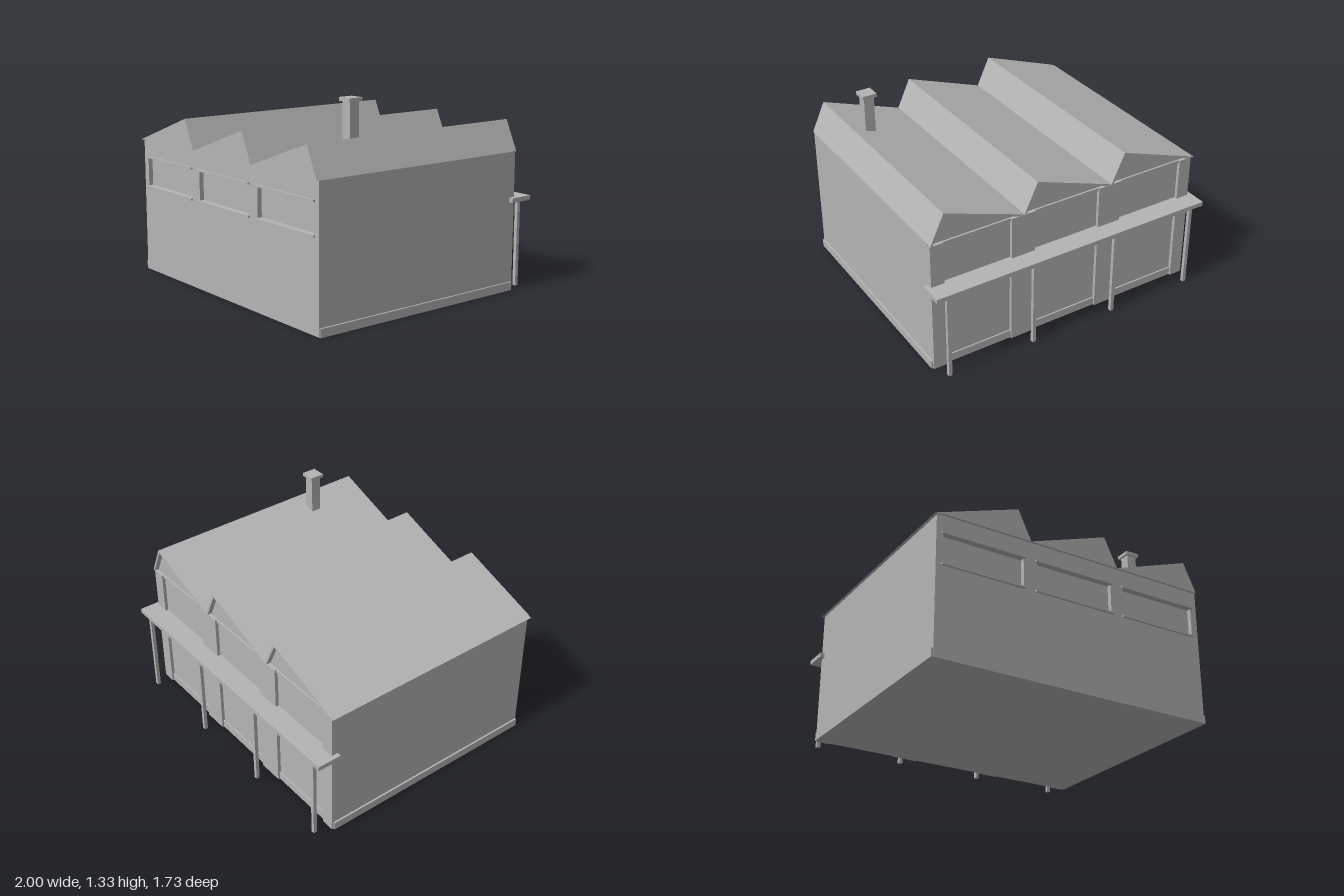
import * as THREE from 'three';

export function createModel() {
  const model = new THREE.Group();
  model.name = 'factory';
  const grey = new THREE.MeshStandardMaterial({ color: 0xb4b4b4 });
  grey.name = 'plain grey';

  const add = (name, geometry) => {
    const mesh = new THREE.Mesh(geometry, grey);
    mesh.name = name;
    model.add(mesh);
    return mesh;
  };
  // Box given by its lower and upper limits on each axis
  const box = (name, x0, x1, y0, y1, z0, z1) =>
    add(name, new THREE.BoxGeometry(x1 - x0, y1 - y0, z1 - z0)
      .translate((x0 + x1) / 2, (y0 + y1) / 2, (z0 + z1) / 2));
  const outline = (points) => new THREE.Shape(points.map(([x, y]) => new THREE.Vector2(x, y)));
  const extrude = (name, shape, z0, z1) =>
    add(name, new THREE.ExtrudeGeometry(shape, { depth: z1 - z0, bevelEnabled: false }).translate(0, 0, z0));
  const rect = (x0, x1, y0, y1) => [[x0, y0], [x1, y0], [x1, y1], [x0, y1]];

  const half = 0.97, eaves = 0.915, bay = half * 2 / 3;
  const back = -0.72, front = 0.85;

  // Walls: a solid core, with a front skin pierced by three window recesses
  box('walls', -half, half, 0, eaves, back, front - 0.03);
  const skin = outline(rect(-half, half, 0, eaves));
  for (let i = -1; i <= 1; i++) {
    const c = i * bay;
    skin.holes.push(new THREE.Path(
      rect(c - 0.276, c + 0.276, 0.597, 0.79).reverse().map(([x, y]) => new THREE.Vector2(x, y))));
    box('windowSill', c - 0.288, c + 0.288, 0.585, 0.597, front - 0.03, 0.865);
    box('windowLintel', c - 0.288, c + 0.288, 0.79, 0.802, front - 0.03, 0.865);
  }
  extrude('frontWall', skin, front - 0.03, front);
  box('plinth', -0.982, 0.982, 0, 0.055, -0.73, front - 0.002);

  // Sawtooth roof: solid teeth, with a thin shell overhanging the back gable
  for (let i = 0; i < 3; i++) {
    const x = -half + i * bay;
    const left = i === 0 ? x - 0.018 : x;
    const at = (points) => outline(points.map(([px, py]) => [px + x, py + eaves]));
    extrude('roofTooth', at([[0, 0], [bay, 0], [0.555, 0.198]]), back, 0.865);
    extrude('roofOverhang', at([
      [0, 0], [0.044, 0], [0.545, 0.182], [bay - 0.016, 0], [bay, 0], [0.555, 0.198],
    ]), -0.752, back);
    if (i === 0) {
      extrude('eavesLip', outline([[left, eaves - 0.007], [x + 0.02, eaves - 0.007],
        [x + 0.02, eaves + 0.007], [x, eaves]]), -0.752, 0.862);
    }
  }

  // Rear pilasters between the bays, joined by a beam under the roof
  const pilasters = [[-half, -0.88], [-0.408, -0.238], [0.238, 0.408], [0.88, half]];
  pilasters.forEach(([x0, x1]) => box('pilaster', x0, x1, 0, 0.905, -0.742, back));
  for (let i = 0; i < 3; i++) {
    box('rearBeam', pilasters[i][1], pilasters[i + 1][0], 0.885, 0.905, -0.732, back);
  }

  // Rear canopy on four posts
  box('canopy', -1, 1, 0.588, 0.618, -0.865, -0.70);
  for (const x of [-0.915, -0.305, 0.305, 0.915]) {
    box('canopyPost', x - 0.012, x + 0.012, 0, 0.588, -0.85, -0.826);
  }

  // Chimney
  box('chimney', 0.72, 0.79, 0.98, 1.31, 0.41, 0.48);
  box('chimneyCap', 0.705, 0.803, 1.31, 1.333, 0.396, 0.494);

  return model;
}
